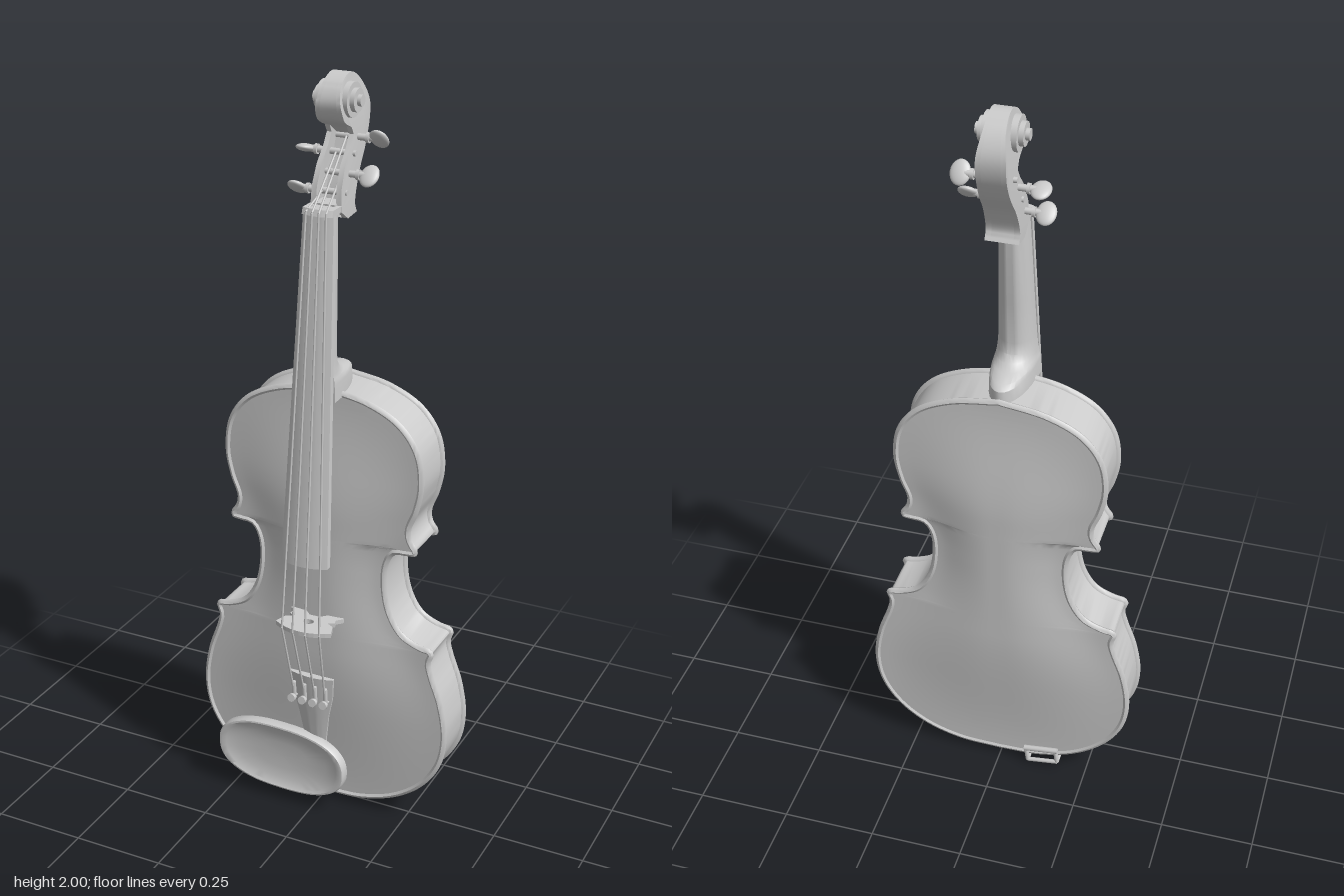
import * as THREE from 'three';
import { toCreasedNormals } from 'three/addons/utils/BufferGeometryUtils.js';

const V = (x, y, z) => new THREE.Vector3(x, y, z);
const grey = new THREE.MeshStandardMaterial({ color: 0xcccccc });
const greyOpen = new THREE.MeshStandardMaterial({ color: 0xcccccc, side: THREE.DoubleSide });
const smooth = (t) => THREE.MathUtils.smoothstep(t, 0, 1);

export function createModel() {
  const model = new THREE.Group();

  const add = (name, geo, mat = grey) => {
    const mesh = new THREE.Mesh(geo, mat);
    mesh.name = name;
    model.add(mesh);
    return mesh;
  };
  const surface = (points, index, crease) => {
    const geo = new THREE.BufferGeometry();
    geo.setAttribute('position', new THREE.Float32BufferAttribute(points.flatMap((p) => p.toArray()), 3));
    geo.setIndex(index);
    return toCreasedNormals(geo, crease);
  };
  // Skin over closed rings, optionally capped; faces are turned outwards by signed volume
  const loft = (rings, capped = true, crease = 0.6) => {
    const n = rings[0].length, pts = rings.flat(), idx = [];
    for (let r = 0; r < rings.length - 1; r++) {
      for (let i = 0; i < n; i++) {
        const a = r * n + i, b = r * n + (i + 1) % n;
        idx.push(a, b, b + n, a, b + n, a + n);
      }
    }
    if (capped) {
      [0, rings.length - 1].forEach((r, end) => {
        const c = pts.length;
        pts.push(rings[r].reduce((s, p) => s.add(p), V(0, 0, 0)).divideScalar(n));
        for (let i = 0; i < n; i++) {
          const a = r * n + i, b = r * n + (i + 1) % n;
          idx.push(c, end ? a : b, end ? b : a);
        }
      });
    }
    const o = pts.reduce((s, p) => s.add(p), V(0, 0, 0)).divideScalar(pts.length);
    let vol = 0;
    for (let i = 0; i < idx.length; i += 3) {
      const [a, b, c] = [0, 1, 2].map((k) => pts[idx[i + k]].clone().sub(o));
      vol += a.dot(b.cross(c));
    }
    return surface(pts, vol < 0 ? idx.reverse() : idx, crease);
  };
  const rod = (name, a, b, r, r2 = r, sides = 10) => {
    const d = b.clone().sub(a);
    const mesh = add(name, new THREE.CylinderGeometry(r2, r, d.length(), sides));
    mesh.position.copy(a).addScaledVector(d, 0.5);
    mesh.quaternion.setFromUnitVectors(V(0, 1, 0), d.normalize());
    return mesh;
  };

  // Body outline: left half from bottom to top, mirrored
  const halfCurve = new THREE.CatmullRomCurve3([
    [0, 0.02], [0.12, 0.027], [0.22, 0.06], [0.3, 0.12], [0.35, 0.2], [0.365, 0.29], [0.35, 0.39],
    [0.322, 0.47], [0.314, 0.505], [0.322, 0.535], [0.312, 0.547], [0.285, 0.552], [0.235, 0.575],
    [0.2, 0.63], [0.185, 0.71], [0.19, 0.77], [0.207, 0.8], [0.24, 0.804], [0.266, 0.809],
    [0.27, 0.825], [0.254, 0.85], [0.25, 0.878], [0.27, 0.935], [0.283, 1.01], [0.268, 1.1],
    [0.217, 1.168], [0.127, 1.213], [0, 1.235]].map(([x, y]) => V(x, y, 0)));
  const N = 150;
  const half = halfCurve.getSpacedPoints(N);
  const inset = (d) => half.map((p, i) => {
    if (i === 0 || i === N) return V(0, p.y + (i ? -d : d), 0);
    const t = half[i + 1].clone().sub(half[i - 1]).normalize();
    return V(Math.max(0, p.x - t.y * d), p.y + t.x * d, 0);
  });
  const outlineRing = (d, z) => {
    const h = inset(d).map((p) => V(p.x, p.y, z));
    return [...h, ...h.slice(1, N).reverse().map((p) => V(-p.x, p.y, z))];
  };
  // Ribs with the overhanging rounded plate edges
  add('bodySides', loft([
    [0.016, 0.031], [0.01, 0.036], [0.004, 0.034], [0, 0.027], [0.004, 0.021], [0.01, 0.019],
    [0.01, -0.1], [0.004, -0.102], [0, -0.109], [0.004, -0.115], [0.01, -0.117], [0.016, -0.113],
  ].map(([d, z]) => outlineRing(d, z)), false, 0.8));

  // Arched front and back plates
  const plate = (name, z0, rise) => {
    const M = 28, pts = [], idx = [], h = inset(0.016);
    h.forEach((p, i) => {
      const W = p.y < 0.72 ? 0.19 + 0.17 * smooth((0.7 - p.y) / 0.4) : 0.19 + 0.09 * smooth((p.y - 0.74) / 0.25);
      const along = smooth((p.y - 0.03) / 0.45) * smooth((1.22 - p.y) / 0.35);
      for (let j = 0; j <= M; j++) {
        const s = j / M * 2 - 1, x = p.x * s;
        const across = smooth(1.1 - Math.abs(x) / W) * (1 - s ** 6);
        pts.push(V(x, p.y, z0 + rise * along * across));
        if (i < N && j < M) {
          const a = i * (M + 1) + j, b = a + M + 1;
          if (rise > 0) idx.push(a, a + 1, b + 1, a, b + 1, b);
          else idx.push(a, b + 1, a + 1, a, b, b + 1);
        }
      }
    });
    add(name, surface(pts, idx, 1), greyOpen);
  };
  plate('frontPlate', 0.031, 0.028);
  plate('backPlate', -0.113, -0.03);

  // Neck with flared heel: [y, front z, back z, half width]
  add('neck', loft([
    [1.69, 0.035, -0.02, 0.037], [1.6, 0.044, -0.018, 0.04], [1.45, 0.056, -0.01, 0.044],
    [1.33, 0.066, 0, 0.048], [1.3, 0.068, -0.006, 0.05], [1.283, 0.07, -0.022, 0.052],
    [1.272, 0.071, -0.05, 0.053], [1.265, 0.071, -0.09, 0.055], [1.255, 0.072, -0.108, 0.056],
    [1.212, 0.074, -0.11, 0.058]].map(([y, zf, zb, w]) => {
    const ring = [];
    for (let i = 0; i <= 16; i++) {
      const a = Math.PI * i / 16;
      ring.push(V(w * Math.cos(a), y, zf + (zb - zf) * Math.sin(a) ** 0.9));
    }
    return ring;
  })));

  // Fingerboard and nut share a curved-top section: [y, half width, underside z, crown z, sagitta]
  const crowned = (stations) => loft(stations.map(([y, w, z0, z1, sag]) => {
    const ring = [V(-w, y, z0)];
    for (let i = 0; i <= 10; i++) {
      const s = i / 5 - 1;
      ring.push(V(w * s, y, z1 - sag * s * s));
    }
    return [...ring, V(w, y, z0)];
  }));
  add('fingerboard', crowned([[1.68, 0.041, 0.033, 0.057, 0.008], [0.775, 0.066, 0.118, 0.15, 0.016]]));
  add('nut', crowned([[1.695, 0.041, 0.005, 0.058, 0.008], [1.679, 0.041, 0.01, 0.064, 0.008]]));

  // Pegbox and scroll side profile (z, y), extruded along x and narrowed upwards
  const back = [[-0.08, 1.66], [-0.07, 1.69], [-0.095, 1.75], [-0.137, 1.81], [-0.163, 1.87], [-0.163, 1.925],
    [-0.13, 1.975], [-0.08, 2], [-0.03, 1.982], [-0.004, 1.94], [-0.018, 1.895], [-0.06, 1.872]];
  const head = (name, front, x0, x1) => {
    const s = new THREE.Shape();
    s.moveTo(front[front.length - 1][0], front[front.length - 1][1]);
    s.lineTo(-0.03, 1.655);
    s.lineTo(...back[0]);
    s.splineThru(back.slice(1).map(([z, y]) => new THREE.Vector2(z, y)));
    front.forEach(([z, y]) => s.lineTo(z, y));
    const geo = new THREE.ExtrudeGeometry(s, { depth: x1 - x0, bevelEnabled: false, curveSegments: 5 });
    geo.translate(0, 0, -x1).rotateY(-Math.PI / 2);
    const p = geo.attributes.position;
    for (let i = 0; i < p.count; i++) {
      const y = p.getY(i);
      const w = 0.042 - 0.006 * smooth((y - 1.66) / 0.2) - 0.012 * smooth((y - 1.9) / 0.1);
      p.setX(i, p.getX(i) * w);
    }
    add(name, toCreasedNormals(geo, 0.6));
  };
  const cheek = [[-0.072, 1.852], [-0.055, 1.825], [-0.02, 1.785], [0.003, 1.735], [0.008, 1.68]];
  head('pegboxCore', [[-0.1, 1.845], [-0.085, 1.8], [-0.06, 1.75], [-0.045, 1.7], [-0.04, 1.665]], -0.66, 0.66);
  head('pegboxLeftCheek', cheek, 0.65, 1);
  head('pegboxRightCheek', cheek, -1, -0.65);
  add('pegboxFoot', new THREE.BoxGeometry(0.06, 0.035, 0.05)).position.set(0, 1.682, -0.005);
  // Stepped scroll eyes
  [[0.043, 0.042], [0.029, 0.054], [0.014, 0.064]].forEach(([r, x]) =>
    rod('scrollEye', V(-x, 1.938, -0.063), V(x, 1.938, -0.063), r, r, 28));

  // Tuning pegs: [side, y, z, turn of the head]
  const pegs = [[-1, 1.72, -0.022, 0.9], [1, 1.762, -0.045, -0.8], [-1, 1.806, -0.07, 1.3], [1, 1.84, -0.1, 0.65]];
  pegs.forEach(([s, y, z, turn]) => {
    rod('pegShaft', V(-s * 0.044, y, z), V(s * 0.08, y, z), 0.007, 0.009, 14);
    rod('pegCollar', V(s * 0.058, y, z), V(s * 0.066, y, z), 0.013, 0.013, 14);
    const knob = add('pegHead', new THREE.SphereGeometry(1, 20, 12));
    knob.scale.set(0.025, 0.031, 0.01);
    knob.position.set(s * 0.091, y, z);
    knob.rotation.x = turn;
  });

  // Bridge: crowned top, waist notches, two feet and a heart-like opening; drawn in x and z
  const bridgeTop = (x) => 0.168 - 4 * x * x;
  const bridge = new THREE.Shape();
  bridge.moveTo(-0.076, 0.048);
  [[-0.03, 0.05], [-0.03, 0.06], [-0.015, 0.075], [0.015, 0.075], [0.03, 0.06], [0.03, 0.05], [0.076, 0.048],
    [0.076, 0.06], [0.062, 0.075], [0.066, 0.088], [0.05, 0.098], [0.07, 0.11]].forEach((p) => bridge.lineTo(...p));
  for (let i = 0; i <= 12; i++) bridge.lineTo(0.08 - i * 0.16 / 12, bridgeTop(0.08 - i * 0.16 / 12));
  [[-0.07, 0.11], [-0.05, 0.098], [-0.066, 0.088], [-0.062, 0.075], [-0.076, 0.06]].forEach((p) => bridge.lineTo(...p));
  const hole = new THREE.Path();
  hole.absellipse(0, 0.11, 0.014, 0.012, 0, Math.PI * 2, true);
  bridge.holes.push(hole);
  const bridgeGeo = new THREE.ExtrudeGeometry(bridge, { depth: 0.012, bevelEnabled: false, curveSegments: 8 });
  add('bridge', bridgeGeo.rotateX(Math.PI / 2).scale(1, 1, 1).translate(0, 0.596, 0));

  // Tailpiece, its cord and the end button
  add('tailpiece', crowned([[0.425, 0.064, 0.088, 0.108, 0.012], [0.36, 0.058, 0.082, 0.1, 0.012],
    [0.3, 0.044, 0.076, 0.092, 0.01], [0.22, 0.032, 0.066, 0.08, 0.007], [0.1, 0.024, 0.052, 0.066, 0.005]]));
  for (const s of [-1, 1]) {
    add('tailCord', new THREE.TubeGeometry(new THREE.CatmullRomCurve3([V(s * 0.012, 0.12, 0.055),
      V(s * 0.012, 0.04, 0.044), V(s * 0.012, 0.014, 0.03), V(s * 0.01, 0.012, -0.03)]), 20, 0.004, 8));
  }
  rod('endButton', V(0, 0.035, -0.04), V(0, 0.004, -0.04), 0.014, 0.018, 20);

  // Strings from pegs over nut and bridge to the fine tuners
  const order = [0, 2, 3, 1];
  [-1.5, -0.5, 0.5, 1.5].forEach((k, i) => {
    const [, py, pz] = pegs[order[i]];
    const bx = k * 0.036, tx = k * 0.031;
    const path = [V(k * 0.014, py, pz + 0.008), V(k * 0.018, 1.687, 0.066 - 0.003 * Math.abs(k)),
      V(bx, 0.59, bridgeTop(bx) + 0.002), V(tx, 0.39, 0.112)];
    for (let j = 0; j < 3; j++) rod('string', path[j], path[j + 1], 0.0028, 0.0028, 8);
    rod('fineTunerArm', V(tx, 0.4, 0.108), V(tx, 0.35, 0.104), 0.006);
    rod('fineTunerScrew', V(tx, 0.352, 0.09), V(tx, 0.357, 0.122), 0.004);
    rod('fineTunerKnob', V(tx, 0.356, 0.115), V(tx, 0.358, 0.125), 0.011, 0.011, 16);
  });

  // Chin rest: dished oval cup from scaled rings [scale, z]
  add('chinRest', loft([
    [0.05, 0.088], [0.4, 0.089], [0.7, 0.093], [0.88, 0.1], [0.94, 0.104], [0.98, 0.103], [1, 0.097],
    [1, 0.078], [0.96, 0.07], [0.84, 0.056], [0.72, 0.042], [0.7, 0.036]].map(([k, z]) => {
    const ring = [];
    for (let i = 0; i < 56; i++) {
      const a = i / 56 * Math.PI * 2, c = Math.cos(a), s = Math.sin(a);
      const x = 0.192 * k * Math.sign(c) * Math.abs(c) ** 0.8;
      ring.push(V(x - 0.094, 0.14 + 0.1 * k * Math.sign(s) * Math.abs(s) ** 0.85 - 0.03 * x, z));
    }
    return ring;
  })));
  // Chin rest clamp: two barrels under the ribs and a foot gripping the back
  for (const [x, y] of [[-0.17, 0.026], [-0.085, 0.014]]) {
    rod('clampPost', V(x, y, 0.06), V(x, y, -0.125), 0.005);
    rod('clampBarrel', V(x, y, 0.0), V(x, y, -0.07), 0.01, 0.01, 14);
    rod('clampHook', V(x, y, -0.125), V(x + 0.006, y + 0.045, -0.126), 0.006);
  }
  rod('clampFoot', V(-0.17, 0.07, -0.126), V(-0.075, 0.058, -0.126), 0.008);
  rod('clampBar', V(-0.17, 0.026, -0.125), V(-0.085, 0.014, -0.125), 0.006);

  return model;
}
